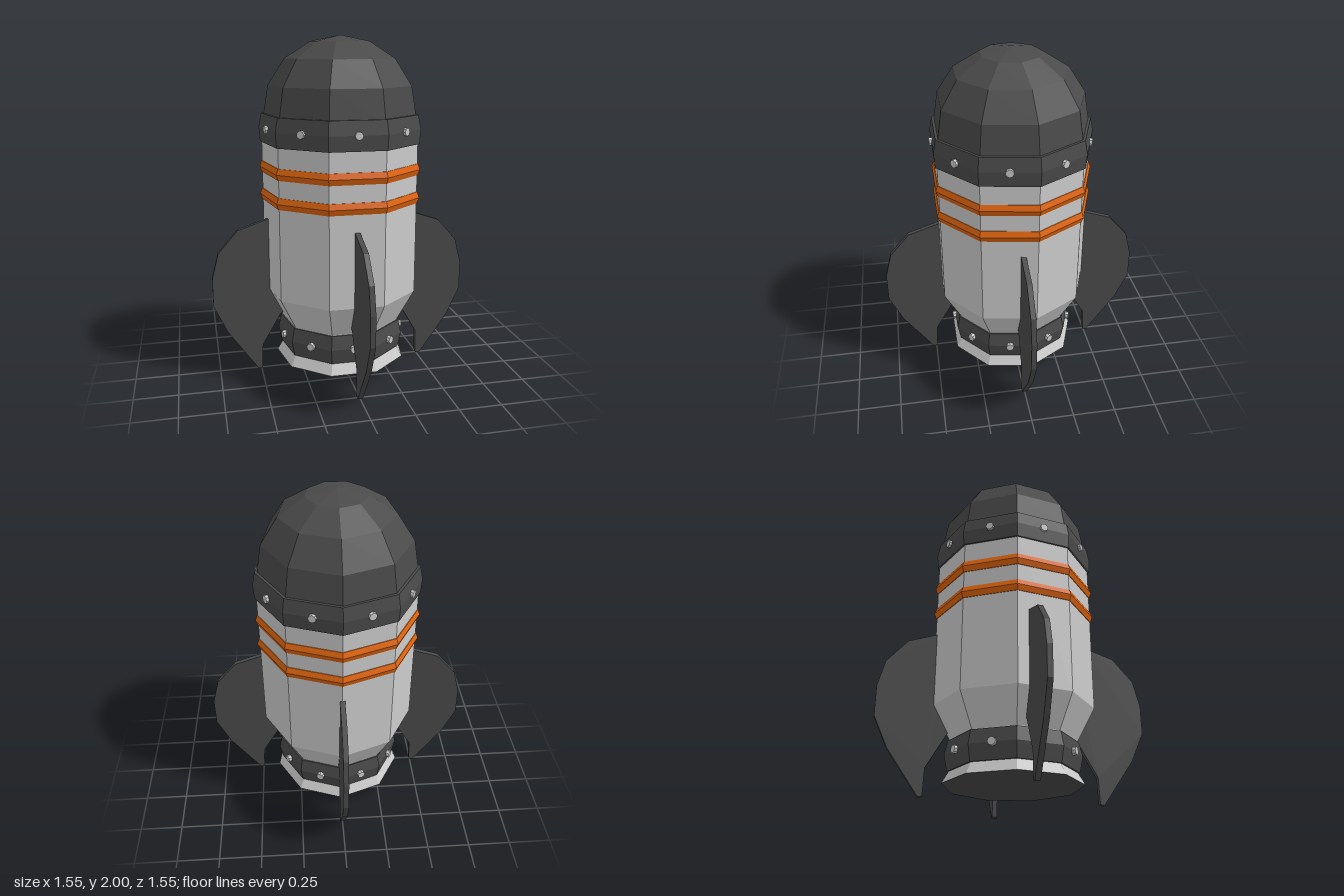
import * as THREE from 'three';

const SIDES = 9;
const material = (color) => new THREE.MeshStandardMaterial({ color, flatShading: true });

export function createModel() {
  const rocket = new THREE.Group();
  rocket.name = 'rocket';
  const grey = material(0xcccccc);
  const dark = material(0x4a4a4a);
  const orange = material(0xe0650f);

  const add = (name, geometry, mat, parent = rocket) => {
    const mesh = new THREE.Mesh(geometry, mat);
    mesh.name = name;
    parent.add(mesh);
    return mesh;
  };

  // Nine-sided turned part, profile given as [radius, y] from bottom to top, one corner at the back
  const turned = (name, profile, mat) => add(name, new THREE.LatheGeometry(
    profile.map(([r, y]) => new THREE.Vector2(r, y)), SIDES, Math.PI), mat);

  // Hull and nose
  turned('body', [[0.395, 0.08], [0.355, 0.15], [0.36, 0.32], [0.462, 0.51], [0.462, 1.42]], grey);
  turned('basePlate', [[0, 0.08], [0.395, 0.08]], dark);
  turned('noseCone', [[0.45, 1.54], [0.42, 1.72], [0.322, 1.87], [0.173, 1.965], [0, 2]], dark);

  // Dark collars
  turned('upperCollar', [[0.44, 1.395], [0.472, 1.395], [0.478, 1.48], [0.462, 1.56], [0.43, 1.56]], dark);
  turned('lowerCollar', [[0.34, 0.145], [0.368, 0.145], [0.386, 0.235], [0.368, 0.315], [0.34, 0.315]], dark);

  // Orange hoops
  for (const y of [1.083, 1.248]) {
    turned('hoop', [[0.44, y - 0.033], [0.466, y - 0.033], [0.478, y], [0.466, y + 0.033], [0.44, y + 0.033]], orange);
  }

  // A rivet in the middle of every collar face
  const rivet = new THREE.CylinderGeometry(0.023, 0.023, 0.03, 8).rotateX(Math.PI / 2);
  for (const [name, y, radius] of [['upperRivet', 1.48, 0.448], ['lowerRivet', 0.235, 0.366]]) {
    for (let i = 0; i < SIDES; i++) {
      const angle = (i * 2 * Math.PI) / SIDES;
      const mesh = add(name, rivet, grey);
      mesh.position.set(Math.sin(angle) * radius, y, Math.cos(angle) * radius);
      mesh.rotation.y = angle;
    }
  }

  // Four fins
  const outline = [
    [0.425, 0.95], [0.44, 0.946], [0.62, 0.885], [0.738, 0.75], [0.777, 0.6], [0.777, 0.427], [0.698, 0.255],
    [0.518, 0], [0.494, 0.005], [0.488, 0.155], [0.375, 0.35], [0.345, 0.37], [0.425, 0.52],
  ].map(([x, y]) => new THREE.Vector2(x, y));
  const depth = 0.03;
  const fin = new THREE.ExtrudeGeometry(new THREE.Shape(outline), { depth, bevelEnabled: false })
    .translate(0, 0, -depth / 2);
  ['leftFin', 'backFin', 'rightFin', 'frontFin'].forEach((name, i) => {
    add(name, fin, dark).rotation.y = (i * Math.PI) / 2;
  });

  return rocket;
}
